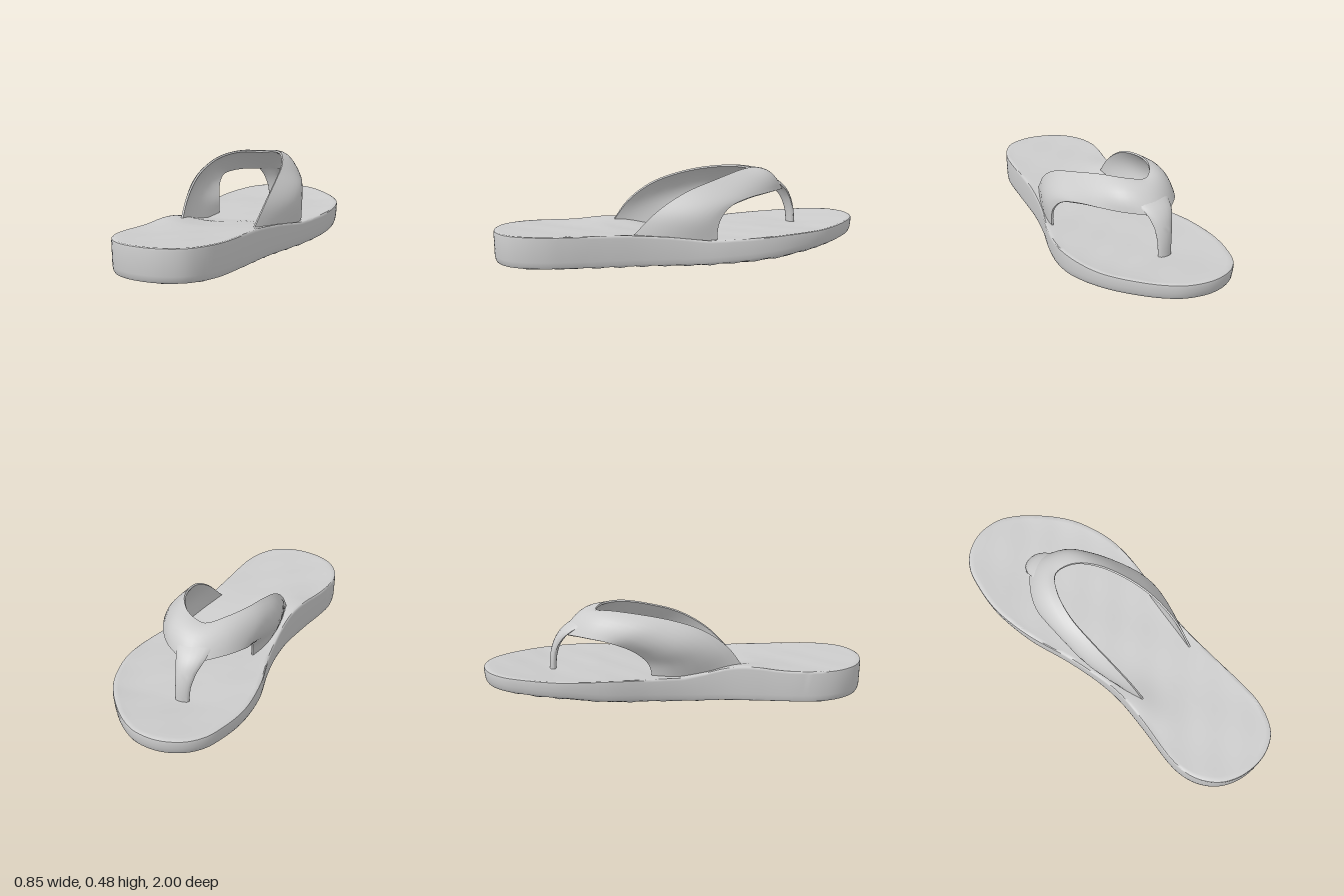
import * as THREE from 'three';
import { toCreasedNormals } from 'three/addons/utils/BufferGeometryUtils.js';

const V = (p) => new THREE.Vector3(...p);

// Piecewise-linear lookup through [key, value] pairs
function lookup(table, k) {
  for (let i = 1; i < table.length; i++) {
    const [a, va] = table[i - 1], [b, vb] = table[i];
    if (k <= b) return va + (vb - va) * Math.max(0, (k - a) / (b - a));
  }
  return table[table.length - 1][1];
}

// Skins closed rings of points, optionally caps both ends, and turns the faces outward
function loft(rings, crease, capped) {
  const n = rings[0].length, pos = [], index = [];
  rings.forEach((ring) => ring.forEach((p) => pos.push(p.x, p.y, p.z)));
  for (let r = 0; r < rings.length - 1; r++) {
    for (let i = 0; i < n; i++) {
      const a = r * n + i, b = r * n + (i + 1) % n;
      index.push(a, b, a + n, b, b + n, a + n);
    }
  }
  if (capped) [0, rings.length - 1].forEach((r, end) => {
    const c = new THREE.Vector3();
    rings[r].forEach((p) => c.addScaledVector(p, 1 / n));
    const ci = pos.length / 3;
    pos.push(c.x, c.y, c.z);
    for (let i = 0; i < n; i++) {
      const a = r * n + i, b = r * n + (i + 1) % n;
      index.push(ci, end ? a : b, end ? b : a);
    }
  });
  // Signed volume tells whether the winding is inside out
  const at = (i) => new THREE.Vector3().fromArray(pos, i * 3);
  let volume = 0;
  for (let i = 0; i < index.length; i += 3) {
    volume += at(index[i]).dot(at(index[i + 1]).cross(at(index[i + 2])));
  }
  if (volume < 0) index.reverse();
  const geo = new THREE.BufferGeometry();
  geo.setAttribute('position', new THREE.Float32BufferAttribute(pos, 3));
  geo.setIndex(index);
  return toCreasedNormals(geo, crease);
}

// Sole: outline rings that close onto a curved centre line below and above
function soleGeometry() {
  const outline = [
    [0, -1], [0.13, -0.97], [0.22, -0.9], [0.3, -0.8], [0.36, -0.7], [0.4, -0.6], [0.425, -0.42],
    [0.41, -0.27], [0.36, -0.1], [0.28, 0.1], [0.22, 0.3], [0.18, 0.5], [0.145, 0.7], [0.12, 0.8],
    [0.07, 0.9], [0, 0.97], [-0.12, 1], [-0.26, 0.97], [-0.36, 0.9], [-0.415, 0.8], [-0.427, 0.7],
    [-0.41, 0.6], [-0.345, 0.4], [-0.29, 0.2], [-0.273, 0.05], [-0.28, -0.15], [-0.31, -0.4],
    [-0.305, -0.6], [-0.285, -0.7], [-0.25, -0.8], [-0.2, -0.9], [-0.12, -0.97],
  ].map(([x, z]) => V([x, 0, z]));
  const edge = new THREE.CatmullRomCurve3(outline, true).getSpacedPoints(200).slice(0, -1);
  const spine = [[-1, 0], [-0.8, 0.025], [-0.5, 0.055], [-0.2, 0.055], [0, 0.025], [0.3, -0.05], [0.6, -0.12], [1, -0.12]];
  const top = [[-1, 0.19], [-0.65, 0.172], [-0.4, 0.165], [-0.2, 0.152], [0, 0.143], [0.2, 0.165], [0.4, 0.18], [1, 0.19]];
  const bottom = [[-1, 0.102], [-0.8, 0.078], [-0.6, 0.053], [-0.4, 0.029], [-0.2, 0.012], [0, 0.006], [0.5, 0.012], [1, 0.02]];
  const rise = [[-1, 0.01], [-0.6, 0.032], [-0.2, 0.025], [0.1, 0.008], [1, 0.005]];
  const dish = [[-1, 0], [-0.65, 0.015], [-0.2, 0.005], [1, 0.005]];

  const ring = (f, height) => edge.map((p) => {
    const z = p.z * (0.55 + 0.45 * f);
    const x = lookup(spine, z) + (p.x - lookup(spine, p.z)) * f;
    return new THREE.Vector3(x, height(x, z), z);
  });
  const under = (f, lift = 0) => ring(f, (x, z) => {
    const bump = f < 0.95 ? 0.004 * Math.sin(x * 58 + z * 17) * Math.sin(z * 53 - x * 13) : 0;
    return Math.max(0, lookup(bottom, z) + lookup(rise, z) * f ** 5 + lift + bump);
  });
  const upper = (f, drop = 0) => ring(f, (x, z) => {
    const ripple = f < 0.95 ? 0.002 * Math.sin(x * 19 + z * 11) * Math.sin(z * 17) : 0;
    const arch = 0.028 * Math.exp(-(((x + 0.29) / 0.11) ** 2) - ((z - 0.3) / 0.18) ** 2);
    return lookup(top, z) - lookup(dish, z) * (1 - f ** 4) - drop + ripple + arch;
  });
  const inner = Array.from({ length: 13 }, (_, i) => i * 0.0775);
  return loft([
    ...inner.map((f) => under(f)),
    under(0.97, 0.003), under(0.985, 0.014), under(0.993, 0.035),
    upper(1, 0.014), upper(0.995, 0.004), upper(0.98),
    ...inner.reverse().map((f) => upper(f)),
  ], 0.75, false);
}

// Strap: a bowed band between an upper, a middle and a lower edge curve
function strapGeometry() {
  const curve = (points) => new THREE.CatmullRomCurve3(points.map(V));
  const upper = curve([
    [-0.24, 0.16, 0.34], [-0.235, 0.29, 0.24], [-0.225, 0.38, 0.11], [-0.205, 0.432, -0.04], [-0.17, 0.462, -0.2],
    [-0.1, 0.472, -0.34], [-0.02, 0.464, -0.41], [0.07, 0.475, -0.37], [0.14, 0.473, -0.26], [0.19, 0.432, -0.08],
    [0.2, 0.38, 0.08], [0.185, 0.29, 0.23], [0.15, 0.16, 0.36]]);
  const middle = curve([
    [-0.222, 0.13, 0.11], [-0.255, 0.23, 0.06], [-0.268, 0.3, -0.02], [-0.256, 0.36, -0.12], [-0.222, 0.41, -0.25],
    [-0.135, 0.435, -0.41], [0, 0.432, -0.49], [0.12, 0.435, -0.44], [0.19, 0.412, -0.32], [0.24, 0.37, -0.17],
    [0.272, 0.32, -0.03], [0.27, 0.25, 0.07], [0.235, 0.13, 0.15]]);
  const lower = curve([
    [-0.185, 0.1, -0.14], [-0.19, 0.2, -0.16], [-0.205, 0.26, -0.21], [-0.22, 0.31, -0.29], [-0.215, 0.34, -0.38],
    [-0.14, 0.352, -0.495], [0, 0.345, -0.58], [0.13, 0.355, -0.5], [0.21, 0.353, -0.38], [0.262, 0.338, -0.24],
    [0.292, 0.3, -0.12], [0.304, 0.23, -0.06], [0.3, 0.1, -0.05]]);
  // Quadratic through the three edges at v = 0, 0.5 and 1
  const surface = (t, v) => new THREE.Vector3()
    .addScaledVector(upper.getPoint(t), (1 - v) * (1 - 2 * v))
    .addScaledVector(middle.getPoint(t), 4 * v * (1 - v))
    .addScaledVector(lower.getPoint(t), v * (2 * v - 1));
  const steps = 60, across = 8, rings = [];
  for (let s = 0; s <= steps; s++) {
    const t = s / steps, outer = [], inner = [];
    for (let i = 0; i <= across; i++) {
      const v = i / across;
      const du = surface(Math.min(1, t + 0.01), v).sub(surface(Math.max(0, t - 0.01), v));
      const dv = surface(t, v + 0.01).sub(surface(t, v - 0.01));
      const normal = du.cross(dv).normalize();
      const half = 0.005 + 0.01 * Math.sin(Math.PI * v);
      outer.push(surface(t, v).addScaledVector(normal, half));
      inner.unshift(surface(t, v).addScaledVector(normal, -half));
    }
    rings.push([...outer, ...inner]);
  }
  return loft(rings, 0.9, true);
}

// Toe post: tapering oval sections, wrapped against the strap at the top
function postGeometry() {
  const path = new THREE.CatmullRomCurve3([
    [0, 0.422, -0.5], [0, 0.395, -0.537], [0, 0.355, -0.582], [0.008, 0.3, -0.615], [0.015, 0.23, -0.635], [0.018, 0.14, -0.642],
  ].map(V));
  const width = [[0, 0.05], [0.2, 0.09], [0.35, 0.078], [0.6, 0.052], [0.8, 0.04], [1, 0.036]];
  const depth = [[0, 0.005], [0.35, 0.015], [0.5, 0.018], [1, 0.018]];
  const rings = [];
  for (let s = 0; s <= 20; s++) {
    const t = s / 20, c = path.getPoint(t), side = new THREE.Vector3(1, 0, 0);
    const forward = path.getTangent(t).cross(side).normalize();
    rings.push(Array.from({ length: 16 }, (_, i) => {
      const a = (i / 16) * Math.PI * 2, x = lookup(width, t) * Math.cos(a);
      const p = c.clone().addScaledVector(side, x).addScaledVector(forward, lookup(depth, t) * Math.sin(a));
      p.z += 4 * x * x * (1 - t);
      return p;
    }));
  }
  return loft(rings, 0.9, true);
}

export function createModel() {
  const rubber = new THREE.MeshStandardMaterial({ color: 0xcccccc });
  rubber.name = 'greyRubber';
  const model = new THREE.Group();
  model.name = 'sandal';
  const parts = { sole: soleGeometry(), strap: strapGeometry(), toePost: postGeometry() };
  for (const [name, geometry] of Object.entries(parts)) {
    const mesh = new THREE.Mesh(geometry, rubber);
    mesh.name = name;
    model.add(mesh);
  }
  return model;
}
